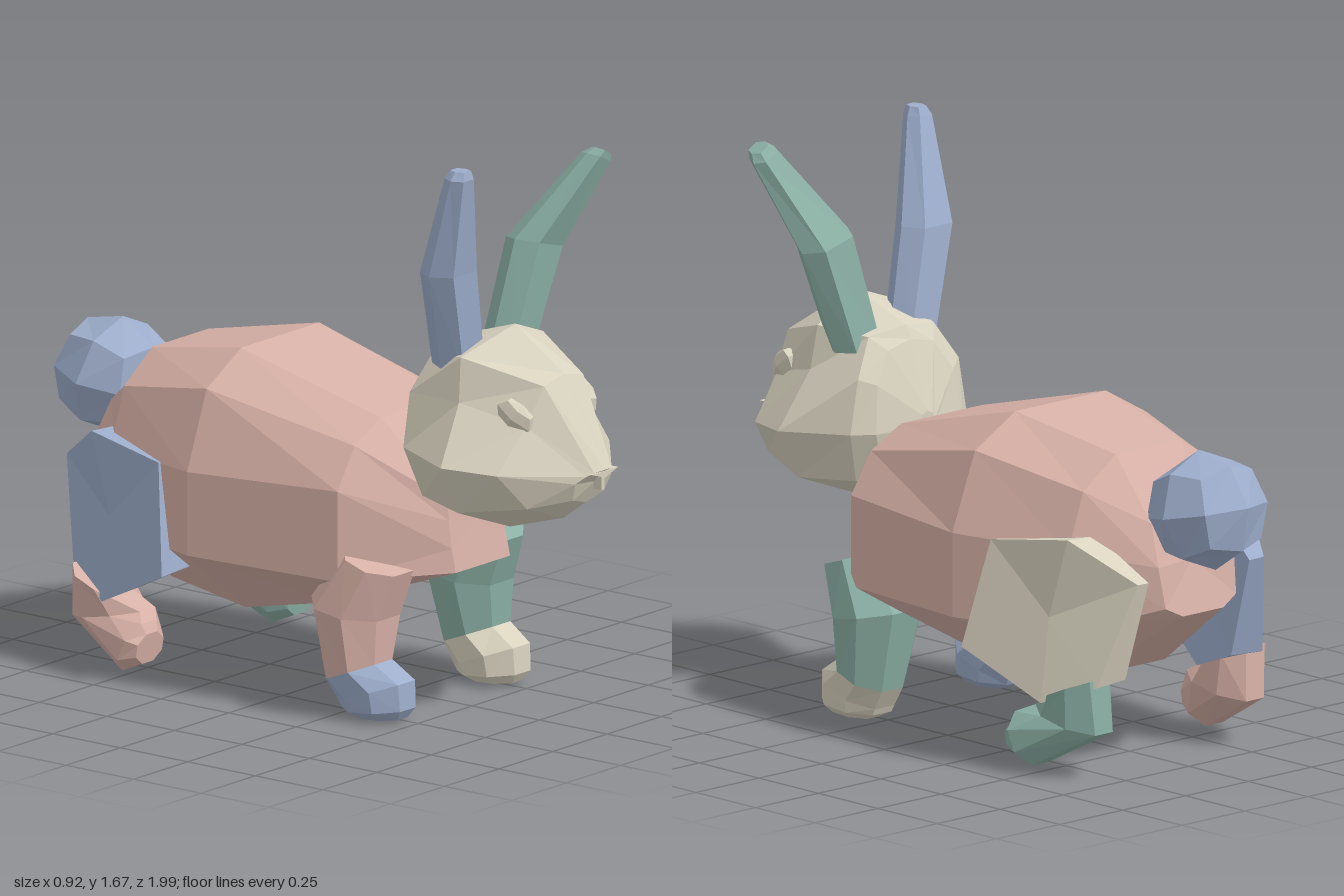
import * as THREE from 'three';

const mat = (name, color) => {
  const m = new THREE.MeshStandardMaterial({ color });
  m.name = name;
  return m;
};

// Faceted normals: every triangle owns its corners
function faceted(geo) {
  const g = geo.index ? geo.toNonIndexed() : geo;
  g.computeVertexNormals();
  return g;
}

// Closed skin over a row of rings with equal point counts; ends are capped
function loft(rings) {
  const n = rings[0].length, tris = [];
  const mid = r => [0, 1, 2].map(k => r.reduce((s, p) => s + p[k], 0) / n);
  for (let i = 0; i < rings.length - 1; i++) {
    for (let j = 0; j < n; j++) {
      const k = (j + 1) % n, a = rings[i], b = rings[i + 1];
      tris.push([a[j], a[k], b[k]], [a[j], b[k], b[j]]);
    }
  }
  const first = rings[0], last = rings[rings.length - 1];
  const c0 = mid(first), c1 = mid(last);
  for (let j = 0; j < n; j++) {
    const k = (j + 1) % n;
    tris.push([c0, first[k], first[j]], [c1, last[j], last[k]]);
  }
  // Turn the skin outward when its signed volume is negative
  let volume = 0;
  const [a, b, c] = [0, 1, 2].map(() => new THREE.Vector3());
  for (const t of tris) volume += a.set(...t[0]).dot(b.set(...t[1]).cross(c.set(...t[2])));
  if (volume < 0) tris.forEach(t => t.reverse());
  const g = new THREE.BufferGeometry();
  g.setAttribute('position', new THREE.Float32BufferAttribute(tris.flat(2), 3));
  return faceted(g);
}

// Ring from its right half, top to bottom; points are [x, y] or [x, y, z]
function mirrored(z, half) {
  const pts = half.map(([x, y, pz = z]) => [x, y, pz]);
  const other = pts.filter(p => p[0] > 0).map(([x, y, pz]) => [-x, y, pz]).reverse();
  return pts.concat(other);
}

// Eight-sided limb ring: centre x, half width, front (y, z) and back (y, z)
function limbRing(side, [cx, hx, fy, fz, by, bz]) {
  const pts = [];
  for (let i = 0; i < 8; i++) {
    const a = (i + 0.5) * Math.PI / 4, s = 1 / Math.cos(Math.PI / 8);
    const t = Math.sin(a) * s / 2 + 0.5;
    pts.push([side * (cx + hx * Math.cos(a) * s), by + (fy - by) * t, bz + (fz - bz) * t]);
  }
  return pts;
}

// Six-sided ear ring: centre, half width, half depth and sideways tilt
function earRing([cx, y, cz, w, d, tilt]) {
  return [[1, 0], [0.6, 1], [-0.6, 1], [-1, 0], [-0.6, -1], [0.6, -1]]
    .map(([u, v]) => [cx + u * w, y + u * tilt, cz + v * d]);
}

// Ball made from a cube with four quads per face
function quadBall(radius) {
  const g = new THREE.BoxGeometry(1, 1, 1, 2, 2, 2);
  const p = g.attributes.position, v = new THREE.Vector3();
  for (let i = 0; i < p.count; i++) {
    v.fromBufferAttribute(p, i).setLength(radius);
    p.setXYZ(i, v.x, v.y, v.z);
  }
  return faceted(g);
}

export function createModel() {
  const model = new THREE.Group();
  model.name = 'rabbit';
  const pink = mat('dusty pink', 0xd6b0a6);
  const cream = mat('cream', 0xd8d2bf);
  const teal = mat('sage teal', 0x8cb1a6);
  const blue = mat('slate blue', 0x9dadcb);
  const add = (name, geo, material) => {
    const m = new THREE.Mesh(geo, material);
    m.name = name;
    model.add(m);
    return m;
  };

  // Body, chest to rump
  add('body', loft([
    mirrored(0.5, [[0.09, 0.66, 0.49], [0.115, 0.64], [0.12, 0.58, 0.51], [0.125, 0.5, 0.525], [0.125, 0.43, 0.54]]),
    mirrored(0.29, [[0.16, 0.86], [0.28, 0.8], [0.36, 0.68], [0.36, 0.41], [0.16, 0.28, 0.12]]),
    mirrored(-0.21, [[0.18, 0.99], [0.34, 0.9], [0.43, 0.67], [0.43, 0.42], [0.16, 0.21]]),
    mirrored(-0.58, [[0.13, 0.92], [0.26, 0.83], [0.32, 0.66], [0.32, 0.42], [0.14, 0.25, -0.5]]),
    mirrored(-0.78, [[0.08, 0.78, -0.7], [0.13, 0.74, -0.73], [0.15, 0.62], [0.14, 0.5, -0.8], [0.08, 0.47, -0.81]]),
  ]), pink);

  // Head, nape to muzzle
  add('head', loft([
    mirrored(0.35, [[0, 0.86], [0.02, 0.85], [0.03, 0.83], [0.03, 0.81], [0.02, 0.79], [0, 0.78]]),
    mirrored(0.4, [[0, 1.06, 0.42], [0.09, 1.04, 0.42], [0.15, 0.95], [0.17, 0.81, 0.385], [0.13, 0.68], [0, 0.64]]),
    mirrored(0.46, [[0, 1.1, 0.44], [0.13, 1.08], [0.2, 0.97, 0.43], [0.23, 0.81, 0.43], [0.18, 0.66], [0, 0.61]]),
    mirrored(0.64, [[0, 1.17, 0.66], [0.19, 1.1, 0.61], [0.21, 0.97, 0.62], [0.32, 0.8], [0.24, 0.65], [0, 0.56]]),
    mirrored(0.84, [[0, 1.05], [0.09, 1.03], [0.15, 0.92, 0.82], [0.26, 0.79, 0.8], [0.17, 0.68], [0, 0.62]]),
    mirrored(0.97, [[0, 0.79, 0.995], [0.04, 0.785, 0.985], [0.06, 0.775], [0.085, 0.755, 0.95], [0.07, 0.7, 0.93], [0, 0.68, 0.92]]),
  ]), cream);

  // Nose wedge and the small ridge below it
  const wedge = new THREE.Shape([[-0.06, 0.785], [0, 0.765], [0.06, 0.785]].map(p => new THREE.Vector2(...p)));
  add('nose', faceted(new THREE.ExtrudeGeometry(wedge, { depth: 0.025, bevelEnabled: false })), cream).position.z = 0.968;
  add('noseRidge', new THREE.BoxGeometry(0.015, 0.045, 0.03), cream).position.set(0, 0.75, 0.97);

  // Ears, each with its own lean
  add('leftEar', loft([
    [0.112, 1.04, 0.535, 0.08, 0.058, -0.01],
    [0.2, 1.36, 0.57, 0.09, 0.062, -0.025],
    [0.315, 1.61, 0.705, 0.04, 0.036, -0.02],
    [0.322, 1.63, 0.72, 0.025, 0.026, -0.015],
  ].map(earRing)), teal);
  add('rightEar', loft([
    [-0.105, 1.04, 0.535, 0.08, 0.058, 0],
    [-0.19, 1.35, 0.565, 0.09, 0.062, 0],
    [-0.24, 1.65, 0.645, 0.04, 0.035, 0],
    [-0.237, 1.675, 0.648, 0.025, 0.026, 0],
  ].map(earRing)), blue);

  // Limb profiles
  const foreleg = [
    [0.25, 0.115, 0.44, 0.45, 0.5, 0.27],
    [0.262, 0.133, 0.3, 0.4, 0.34, 0.16],
    [0.272, 0.1, 0.17, 0.39, 0.1, 0.21],
  ];
  const forefoot = [
    foreleg[2],
    [0.265, 0.095, 0.12, 0.47, 0.04, 0.25],
    [0.265, 0.088, 0.04, 0.475, 0.02, 0.26],
    [0.265, 0.055, 0.01, 0.455, 0, 0.3],
  ];
  const hindfoot = [
    [0.31, 0.09, 0.23, -0.53, 0.3, -0.7],
    [0.3, 0.085, 0.19, -0.46, 0.14, -0.71],
    [0.345, 0.085, 0.17, -0.42, 0.02, -0.49],
    [0.35, 0.06, 0.14, -0.405, 0.05, -0.42],
  ];
  // Thigh outline on its outer face; the last number is its thickness there
  const thigh = [
    [0.4, 0.67, -0.34, 0.12], [0.36, 0.71, -0.62, 0.12], [0.25, 0.59, -0.8, 0.05],
    [0.33, 0.28, -0.71, 0.12], [0.4, 0.22, -0.55, 0.18], [0.46, 0.35, -0.28, 0.15],
  ];
  const thighRing = (side, inner, s) => thigh.map(([x, y, z, d]) =>
    [side * (x - inner * d), 0.47 + (y - 0.47) * s, -0.54 + (z + 0.54) * s]);

  const sides = [
    { name: 'left', s: 1, leg: teal, foot: cream, haunch: cream, hind: teal },
    { name: 'right', s: -1, leg: pink, foot: blue, haunch: blue, hind: pink },
  ];
  for (const { name, s, leg, foot, haunch, hind } of sides) {
    const limb = rows => loft(rows.map(r => limbRing(s, r)));
    add(name + 'FrontLeg', limb(foreleg), leg);
    add(name + 'FrontFoot', limb(forefoot), foot);
    add(name + 'Thigh', loft([thighRing(s, 0, 1), thighRing(s, 1, 0.97)]), haunch);
    add(name + 'HindFoot', limb(hindfoot), hind);
    // Almond eye, slanting down toward the nose
    const eye = add(name + 'Eye', faceted(new THREE.SphereGeometry(1, 6, 4)), cream);
    eye.scale.set(0.032, 0.042, 0.07);
    eye.rotation.set(0.65, -s * 0.25, 0);
    eye.position.set(s * 0.153, 0.947, 0.785);
  }

  // Ball tail
  const tail = add('tail', quadBall(0.176), blue);
  tail.position.set(0, 0.777, -0.827);
  tail.rotation.x = 0.2;
  return model;
}
